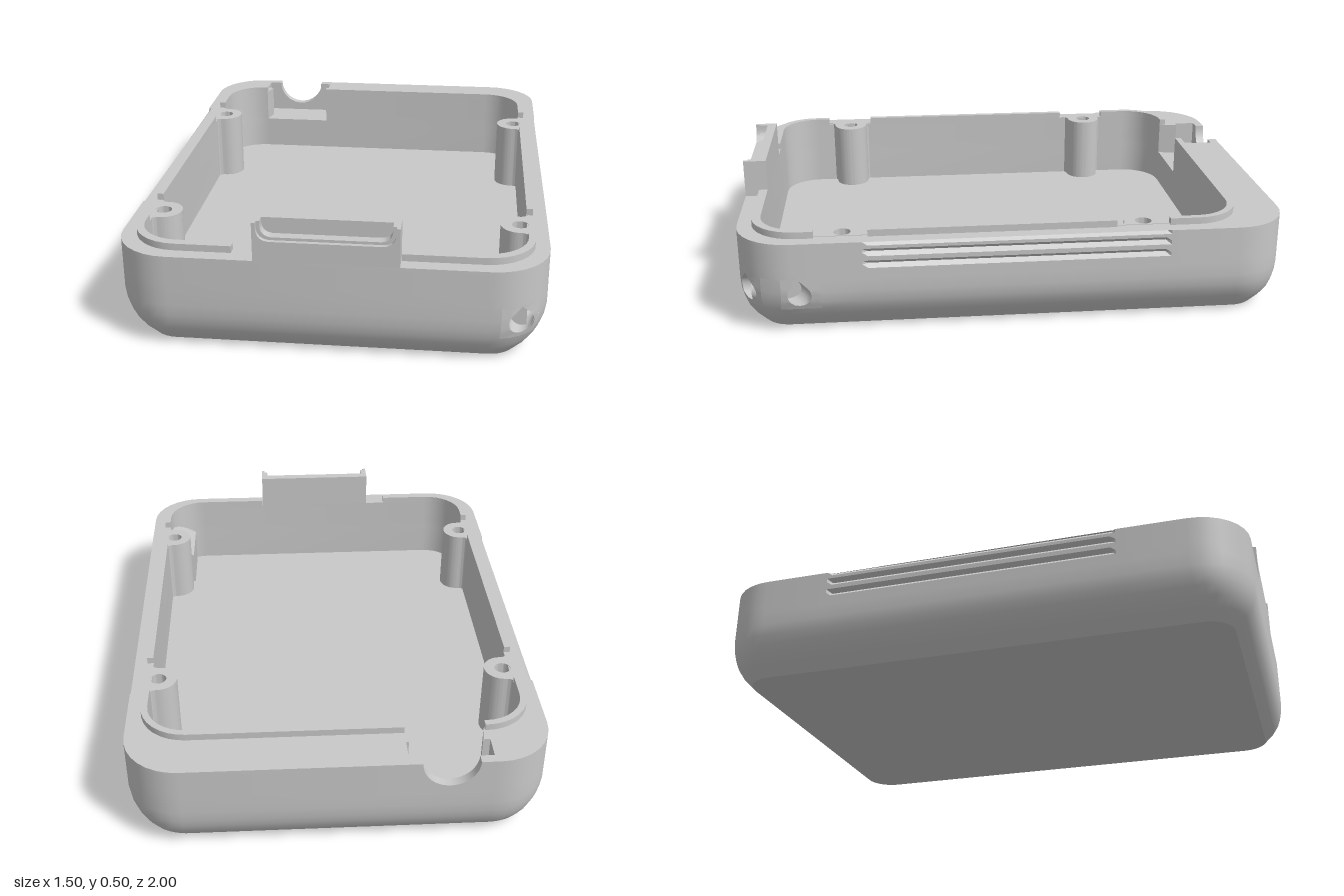
import * as THREE from 'three';
import { toCreasedNormals } from 'three/addons/utils/BufferGeometryUtils.js';

const V2 = (x, y) => new THREE.Vector2(x, y);
const lerp = THREE.MathUtils.lerp;

// Rounded rectangle in plan as [x, z] points, from the back wall clockwise seen from above.
function contour(hx, z0, z1, r, sides = {}, xStart = -0.235, xEnd = -0.53) {
  const pts = [[xStart, z0]];
  const corners = [[hx - r, z0 + r], [hx - r, z1 - r], [r - hx, z1 - r], [r - hx, z0 + r]];
  corners.forEach(([cx, cz], k) => {
    for (let s = 0; s <= 8; s++) {
      const a = (k + s / 8) * Math.PI / 2;
      pts.push([cx + r * Math.sin(a), cz - r * Math.cos(a)]);
    }
    if (k === 0) (sides.right || []).forEach(z => pts.push([hx, z]));
    if (k === 1) (sides.front || []).forEach(x => pts.push([x, z1]));
    if (k === 2) (sides.left || []).forEach(z => pts.push([-hx, z]));
  });
  pts.push([xEnd, z0]);
  return pts;
}

// Surface through closed rows of [x, y, z] points.
function loft(rows, skip = () => false) {
  const pos = [], n = rows[0].length;
  for (let j = 0; j + 1 < rows.length; j++) for (let i = 0; i < n; i++) {
    if (skip(i, j)) continue;
    const k = (i + 1) % n;
    const a = rows[j][i], b = rows[j + 1][i], c = rows[j][k], d = rows[j + 1][k];
    pos.push(...a, ...b, ...c, ...c, ...b, ...d);
  }
  const g = new THREE.BufferGeometry();
  g.setAttribute('position', new THREE.Float32BufferAttribute(pos, 3));
  return g;
}

// Plan outline raised along y.
function raise(pts, y, height, steps = 1) {
  const shape = new THREE.Shape(pts.map(([x, z]) => V2(x, -z)));
  return new THREE.ExtrudeGeometry(shape, { depth: height, steps, bevelEnabled: false })
    .rotateX(-Math.PI / 2).translate(0, y, 0);
}

// Front-facing outline given depth from z0 to z1.
function slab(shape, z0, z1) {
  return new THREE.ExtrudeGeometry(shape, { depth: z1 - z0, bevelEnabled: false, curveSegments: 16 })
    .translate(0, 0, z0);
}

export function createModel() {
  const model = new THREE.Group();
  const grey = new THREE.MeshStandardMaterial({ color: 0xc8c8c8 });
  grey.name = 'grey plastic';
  const add = (name, geo, parent = model) => {
    const mesh = new THREE.Mesh(toCreasedNormals(geo, 0.6), grey);
    mesh.name = name;
    parent.add(mesh);
    return mesh;
  };
  const floorY = 0.087;

  // Lower shell: [height, inset in x, inset in z]
  const profile = [[0, 0.1, 0.08], [0.04, 0.061, 0.041], [0.07, 0.037, 0.021], [0.1, 0.019, 0.01],
    [0.13, 0.007, 0.003], [0.17, 0, 0], [0.22, 0, 0]];
  const outerSides = { right: [-0.55, -0.53, 0.53, 0.55, 0.7], left: [0.55, 0.53, -0.53, -0.55] };
  const outline = (ix, iz) => contour(0.748 - ix, iz - 1, 1 - iz, 0.2 - ix, outerSides);
  const rows = profile.map(([y, ix, iz]) => outline(ix, iz).map(([x, z]) => [x, y, z]));

  // Cord holes: column range of the shell, axis measured across the hole, centre and direction
  const holes = [
    { p0: 18, p1: 22, axis: 0, centre: 0.655, dir: -1 },
    { p0: 14, p1: 16, axis: 2, centre: 0.775, dir: 1 },
  ];
  const inHole = (i, j) => j >= 3 && holes.some(h => i >= h.p0 && i < h.p1);
  add('lowerShell', loft(rows, inHole));

  // Point on the shell at column p and height y
  const at = (p, y) => {
    let j = 0;
    while (j < profile.length - 2 && profile[j + 1][0] < y) j++;
    const v = (y - profile[j][0]) / (profile[j + 1][0] - profile[j][0]);
    const i = Math.min(Math.floor(p), rows[0].length - 2), u = p - i;
    return [0, 1, 2].map(k => lerp(
      lerp(rows[j][i][k], rows[j][i + 1][k], u), lerp(rows[j + 1][i][k], rows[j + 1][i + 1][k], u), v));
  };

  // Hole section, round below and pointed above, with matching points of a square around it
  const section = [];
  for (let k = 0; k < 32; k++) {
    const t = (k % 8) / 4 - 1;
    const [sx, sy] = [[-t, 1], [-1, -t], [t, -1], [1, t]][Math.floor(k / 8)];
    const a = Math.atan2(sy, sx), up = Math.abs(a - Math.PI / 2);
    const rad = up < Math.PI / 4 ? 0.042 / Math.cos(Math.PI / 4 - up) : 0.042;
    section.push({ sx, sy, w: rad * Math.cos(a), y: 0.157 + rad * Math.sin(a) });
  }
  const mouths = holes.map(h => {
    const rim = section.map(q => [lerp(h.p0, h.p1, (q.sx + 1) / 2), 0.16 + 0.06 * q.sy]);
    const drop = section.map(q => {
      let lo = h.p0, hi = h.p1;
      for (let n = 0; n < 30; n++) {
        const mid = (lo + hi) / 2;
        if ((at(mid, q.y)[h.axis] - h.centre) * h.dir < q.w) lo = mid; else hi = mid;
      }
      return [lo, q.y];
    });
    const patch = [0, 0.25, 0.5, 0.75, 1].map(t =>
      rim.map((q, k) => at(lerp(q[0], drop[k][0], t), lerp(q[1], drop[k][1], t))));
    add('cordHoleRim', loft(patch));
    return patch[4];
  });

  // Curved tunnel from the front hole round to the side hole
  const bend = [];
  for (let s = 1; s <= 9; s++) {
    const a = s * Math.PI / 20;
    bend.push(section.map(q =>
      [0.75 - (0.095 + q.w) * Math.cos(a), q.y, 0.97 - (0.195 + q.w) * Math.sin(a)]));
  }
  add('cordTunnel', loft([mouths[0], ...bend, mouths[0].map((_, k) => mouths[1][(40 - k) % 32])]));

  // Underside, inner floor and lower inner wall
  const base = new THREE.Shape(outline(0.1, 0.08).map(([x, z]) => V2(x, z)));
  add('underside', new THREE.ShapeGeometry(base).rotateX(Math.PI / 2));
  const inner = contour(0.674, -0.805, 0.915, 0.146, {}, -0.235, -0.52);
  const floor = new THREE.Shape(inner.map(([x, z]) => V2(x, -z)));
  add('floor', new THREE.ShapeGeometry(floor).rotateX(-Math.PI / 2).translate(0, floorY, 0));
  add('innerWall', loft([0.22, floorY].map(y => inner.map(([x, z]) => [x, y, z]))));

  // Upper wall, open at the cable pocket, with V grooves along both sides
  const levels = [0.22, 0.256, 0.27, 0.284, 0.301, 0.315, 0.329, 0.341, 0.355];
  const wall = raise([...outline(0, 0), [-0.53, -0.88], [-0.505, -0.88], ...[...inner].reverse(),
    [-0.245, -0.88], [-0.235, -0.88]], 0, levels.length - 1, levels.length - 1);
  const p = wall.attributes.position;
  for (let i = 0; i < p.count; i++) {
    const k = Math.round(p.getY(i)), x = p.getX(i);
    p.setY(i, levels[k]);
    if ([2, 5, 8].includes(k) && Math.abs(x) > 0.74 && Math.abs(p.getZ(i)) < 0.54)
      p.setX(i, x - Math.sign(x) * 0.015);
  }
  add('upperWall', wall);

  // Cable entry: outer plate with a round notch, and the pocket floor
  const notch = new THREE.Shape([V2(-0.53, 0.22), V2(-0.235, 0.22), V2(-0.235, 0.355), V2(-0.28, 0.355)]);
  notch.absarc(-0.38, 0.355, 0.1, 0, Math.PI, true);
  notch.lineTo(-0.53, 0.355);
  add('cableNotch', slab(notch, -1, -0.965));
  add('cablePocketFloor', new THREE.BoxGeometry(0.295, 0.02, 0.158).translate(-0.3825, 0.211, -0.886));

  // Raised lip in six pieces
  const lipSides = { right: [-0.555, -0.36, 0.53, 0.72], front: [0.25, -0.33], left: [0.72, 0.53, -0.36, -0.555] };
  const lipOut = contour(0.698, -0.83, 0.948, 0.17, lipSides, -0.235, -0.52);
  const lipIn = contour(0.674, -0.805, 0.915, 0.146, lipSides, -0.235, -0.52);
  for (const [a, b] of [[0, 10], [11, 12], [13, 23], [24, 34], [35, 36], [37, 47]])
    add('lip', raise([...lipOut.slice(a, b + 1), ...lipIn.slice(a, b + 1).reverse()], 0.35, 0.03));

  // Screw posts blended into the side walls
  const post = new THREE.Shape();
  post.moveTo(0.035, -0.1);
  post.quadraticCurveTo(0.028, -0.07, 0, -0.07);
  post.absarc(0, 0, 0.07, -Math.PI / 2, Math.PI / 2, true);
  post.quadraticCurveTo(0.028, 0.07, 0.035, 0.1);
  post.holes.push(new THREE.Path().absarc(0, 0, 0.03, 0, Math.PI * 2, false));
  const postGeo = new THREE.ExtrudeGeometry(post, { depth: 0.357 - floorY, bevelEnabled: false, curveSegments: 20 })
    .rotateX(-Math.PI / 2);
  for (const s of [1, -1]) for (const z of [-0.465, 0.62]) {
    const mesh = add('screwPost', postGeo);
    mesh.position.set(0.65 * s, floorY, z);
    mesh.rotation.y = s > 0 ? 0 : Math.PI;
  }

  // Sloped block around the cord tunnel
  const block = new THREE.Shape([V2(0.575, floorY), V2(0.675, floorY), V2(0.675, 0.31), V2(0.575, 0.225)]);
  add('cordBlock', slab(block, 0.68, 0.91));

  // Front tab: back plate, then two stepped frames open at the top
  const tab = new THREE.Group();
  tab.name = 'frontTab';
  model.add(tab);
  add('tabBack', new THREE.BoxGeometry(0.494, 0.145, 0.035).translate(0, 0.4225, 0.9325), tab);
  const frame = (w, y, r) => {
    const s = new THREE.Shape([V2(-0.247, 0.35), V2(0.247, 0.35), V2(0.247, 0.495), V2(w, 0.495)]);
    s.lineTo(w, y + r);
    s.quadraticCurveTo(w, y, w - r, y);
    s.lineTo(r - w, y);
    s.quadraticCurveTo(-w, y, -w, y + r);
    s.lineTo(-w, 0.495);
    s.lineTo(-0.247, 0.495);
    return s;
  };
  add('tabFrameInner', slab(frame(0.222, 0.438, 0.045), 0.95, 0.985), tab);
  add('tabFrameOuter', slab(frame(0.234, 0.428, 0.05), 0.985, 1), tab);

  return model;
}
